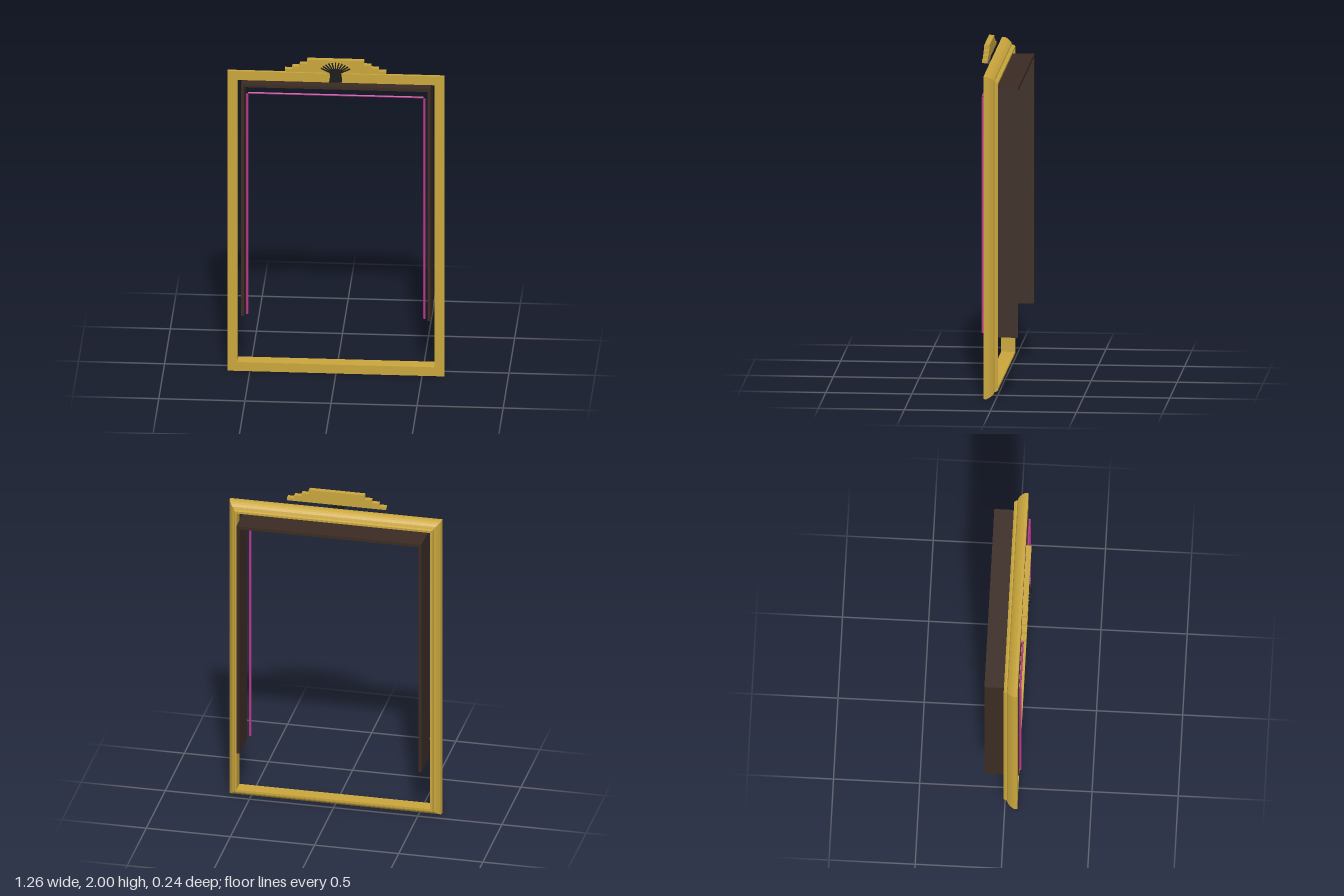
import * as THREE from 'three';

const gold = new THREE.MeshStandardMaterial({ name: 'gold', color: 0xc9a63c });
const brown = new THREE.MeshStandardMaterial({ name: 'darkBrown', color: 0x3b2b23 });
const pink = new THREE.MeshStandardMaterial({ name: 'magenta', color: 0xb8388f });
const black = new THREE.MeshStandardMaterial({ name: 'black', color: 0x1c1c1c });

function add(parent, name, geometry, material, x = 0, y = 0, z = 0) {
  const mesh = new THREE.Mesh(geometry, material);
  mesh.name = name;
  mesh.position.set(x, y, z);
  parent.add(mesh);
  return mesh;
}

// Sweeps a closed [inset, z] profile round a rectangle with mitred corners
function mitredFrame(halfW, halfH, profile) {
  const corners = [[1, -1], [1, 1], [-1, 1], [-1, -1]];
  const point = (j, k) => {
    const [inset, z] = profile[j % profile.length];
    const [sx, sy] = corners[k % 4];
    return [sx * (halfW - inset), sy * (halfH - inset), z];
  };
  const positions = [];
  for (let k = 0; k < 4; k++) {
    for (let j = 0; j < profile.length; j++) {
      const a = point(j, k), b = point(j + 1, k), c = point(j + 1, k + 1), d = point(j, k + 1);
      positions.push(...a, ...b, ...c, ...a, ...c, ...d);
    }
  }
  const geometry = new THREE.BufferGeometry();
  geometry.setAttribute('position', new THREE.Float32BufferAttribute(positions, 3));
  geometry.computeVertexNormals();
  return geometry;
}

function plate(points, depth) {
  const shape = new THREE.Shape(points.map(([x, y]) => new THREE.Vector2(x, y)));
  return new THREE.ExtrudeGeometry(shape, { depth, bevelEnabled: false });
}

export function createModel() {
  const model = new THREE.Group();
  model.name = 'ornateFrame';

  // Gold moulding: flat front, coved outer edge and small steps at the back
  const profile = [
    [0, 0.073], [0, 0.055], [0.006, 0.04], [0.014, 0.028], [0.026, 0.015],
    [0.037, 0.011], [0.037, 0.003], [0.043, -0.008], [0.056, -0.008], [0.056, 0.073],
  ];
  add(model, 'frameMoulding', mitredFrame(0.63, 0.95, profile), gold, 0, 0.95, 0);

  // Deep dark surround, open at the bottom
  const surround = new THREE.Group();
  surround.name = 'surround';
  model.add(surround);
  add(surround, 'surroundTop', new THREE.BoxGeometry(1.1, 0.018, 0.2), brown, 0, 1.811, -0.022);
  for (const s of [-1, 1]) {
    add(surround, 'surroundSide', new THREE.BoxGeometry(0.018, 1.452, 0.2), brown, s * 0.541, 1.076, -0.022);
  }

  // Thin glowing tubes inside the surround
  const tubes = new THREE.Group();
  tubes.name = 'lightTubes';
  model.add(tubes);
  const bar = add(tubes, 'topTube', new THREE.CylinderGeometry(0.006, 0.006, 1.02, 8), pink, 0, 1.77, 0.085);
  bar.rotation.z = Math.PI / 2;
  for (const s of [-1, 1]) {
    add(tubes, 'sideTube', new THREE.CylinderGeometry(0.007, 0.007, 1.392, 8), pink, s * 0.515, 1.066, 0.085);
  }

  // Stepped crest, each row [half width, bottom, top]
  const crest = new THREE.Group();
  crest.name = 'crest';
  model.add(crest);
  const rows = [[0.294, 1.92, 1.938], [0.252, 1.938, 1.956], [0.208, 1.956, 1.974], [0.165, 1.974, 2]];
  for (const [half, low, high] of rows) {
    add(crest, 'crestStep', new THREE.BoxGeometry(half * 2, high - low, 0.031), gold, 0, (low + high) / 2, 0.0925);
  }

  // Black fan ornament: pedestal and radiating spokes
  const fan = new THREE.Group();
  fan.name = 'fanOrnament';
  model.add(fan);
  const pedestal = [[-0.037, 1.865], [0.037, 1.865], [0.03, 1.91], [0.034, 1.92], [0.02, 1.945],
    [-0.02, 1.945], [-0.034, 1.92], [-0.03, 1.91]];
  add(fan, 'pedestal', plate(pedestal, 0.039), black, 0, 0, 0.081);
  const count = 11;
  for (let i = 0; i < count; i++) {
    const angle = THREE.MathUtils.degToRad(32 + (116 * i) / (count - 1));
    const tip = new THREE.Vector2(Math.cos(angle) * 0.1, Math.sin(angle) * 0.077);
    const spoke = add(fan, 'spoke', new THREE.BoxGeometry(tip.length(), 0.007, 0.008), black,
      tip.x / 2, 1.909 + tip.y / 2, 0.11);
    spoke.rotation.z = tip.angle();
  }

  return model;
}
